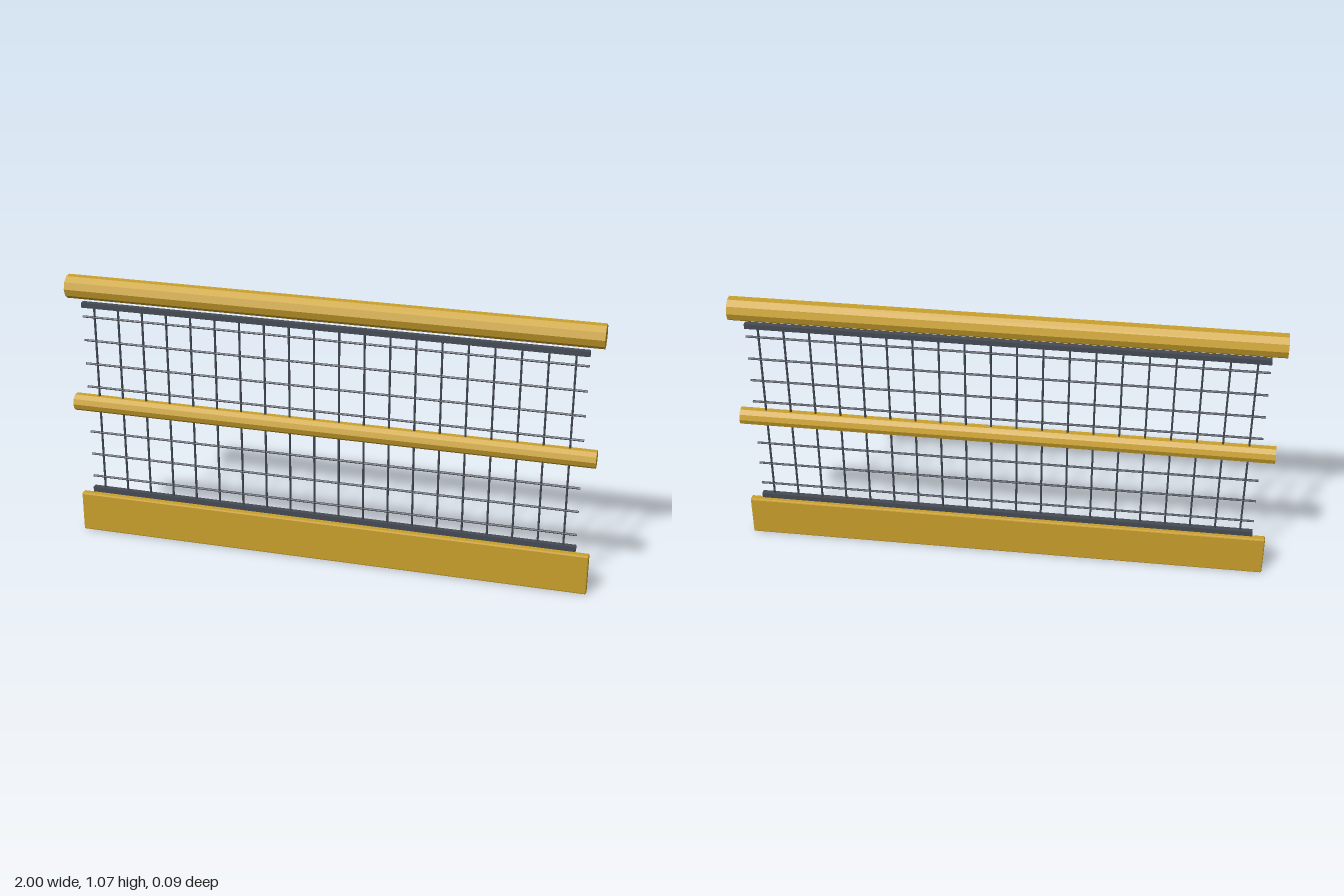
import * as THREE from 'three';
import { RoundedBoxGeometry } from 'three/addons/geometries/RoundedBoxGeometry.js';

export function createModel() {
  const model = new THREE.Group();
  model.name = 'railing';

  const yellow = new THREE.MeshStandardMaterial({ color: 0xc9a02c, flatShading: true });
  yellow.name = 'safety yellow';
  const steel = new THREE.MeshStandardMaterial({ color: 0x454a54, flatShading: true });
  steel.name = 'dark steel';

  function add(parent, name, geometry, material, x, y) {
    const mesh = new THREE.Mesh(geometry, material);
    mesh.name = name;
    mesh.position.set(x, y, 0);
    parent.add(mesh);
    return mesh;
  }

  // Ten-sided tubes running along x
  const railGeometry = (radius) =>
    new THREE.CylinderGeometry(radius, radius, 2, 10).rotateZ(Math.PI / 2);
  add(model, 'topRail', railGeometry(0.045), yellow, 0, 1.023);
  add(model, 'middleRail', railGeometry(0.034), yellow, 0, 0.552);

  // Board at the foot with softened edges
  add(model, 'kickBoard', new RoundedBoxGeometry(2, 0.161, 0.029, 1, 0.005), yellow, 0, 0.0805);

  // Mesh panel: two square bars and a grid of wires
  const panel = new THREE.Group();
  panel.name = 'meshPanel';
  model.add(panel);

  const width = 1.9, bottom = 0.182, top = 0.954;
  const bar = new THREE.BoxGeometry(width, 0.02, 0.02);
  add(panel, 'bottomBar', bar, steel, 0, bottom);
  add(panel, 'topBar', bar, steel, 0, top);

  const wireRadius = 0.0042;
  const upright = new THREE.CylinderGeometry(wireRadius, wireRadius, top - bottom, 6);
  for (let i = 0; i < 20; i++) {
    add(panel, 'uprightWire', upright, steel, -width / 2 + (i + 0.5) * 0.095, (top + bottom) / 2);
  }

  const cross = new THREE.CylinderGeometry(wireRadius, wireRadius, width, 6).rotateZ(Math.PI / 2);
  for (let i = 0; i < 8; i++) {
    add(panel, 'crossWire', cross, steel, 0, 0.238 + i * 0.0954);
  }

  return model;
}
